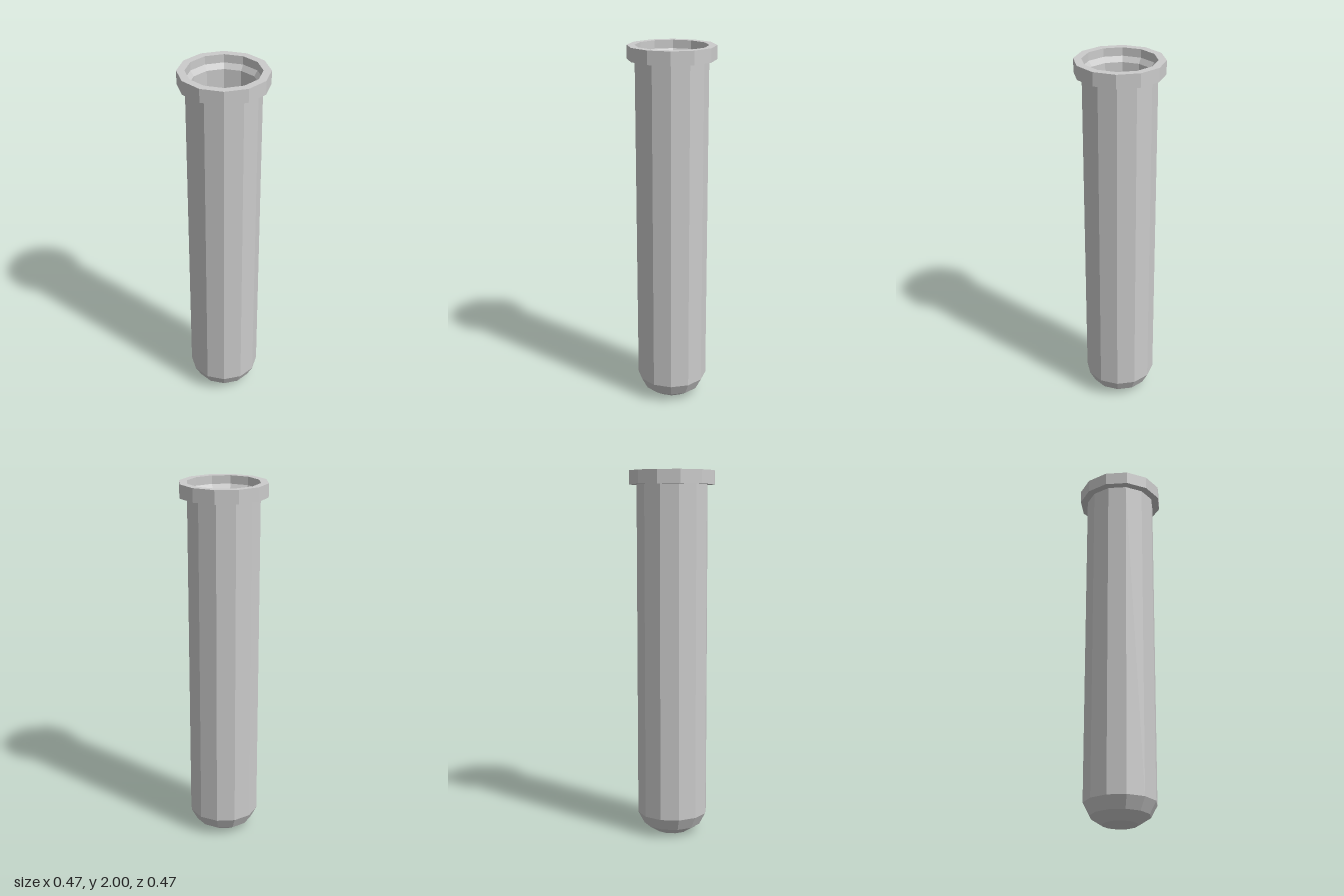
import * as THREE from 'three';

const SIDES = 12;

// Faceted surface of revolution from [radius, height] pairs
function turned(name, profile, material) {
  const points = profile.map(([r, y]) => new THREE.Vector2(r, y));
  const mesh = new THREE.Mesh(new THREE.LatheGeometry(points, SIDES), material);
  mesh.name = name;
  return mesh;
}

export function createModel() {
  const material = new THREE.MeshStandardMaterial({ color: 0xcccccc, flatShading: true });
  const group = new THREE.Group();
  group.name = 'testTube';

  // Outer wall with its rounded base
  group.add(turned('outerWall', [
    [0, 0], [0.095, 0], [0.16, 0.042], [0.195, 0.108], [0.195, 1.927],
  ], material));

  // Raised collar around the mouth, with the chamfer leading into the bore
  group.add(turned('collar', [
    [0.195, 1.927], [0.236, 1.927], [0.236, 2], [0.195, 2], [0.195, 1.955], [0.176, 1.927],
  ], material));

  // Hollow inside, running down to a rounded floor
  group.add(turned('innerWall', [
    [0.176, 1.927], [0.168, 0.117], [0.14, 0.058], [0.088, 0.02], [0, 0.02],
  ], material));

  return group;
}
